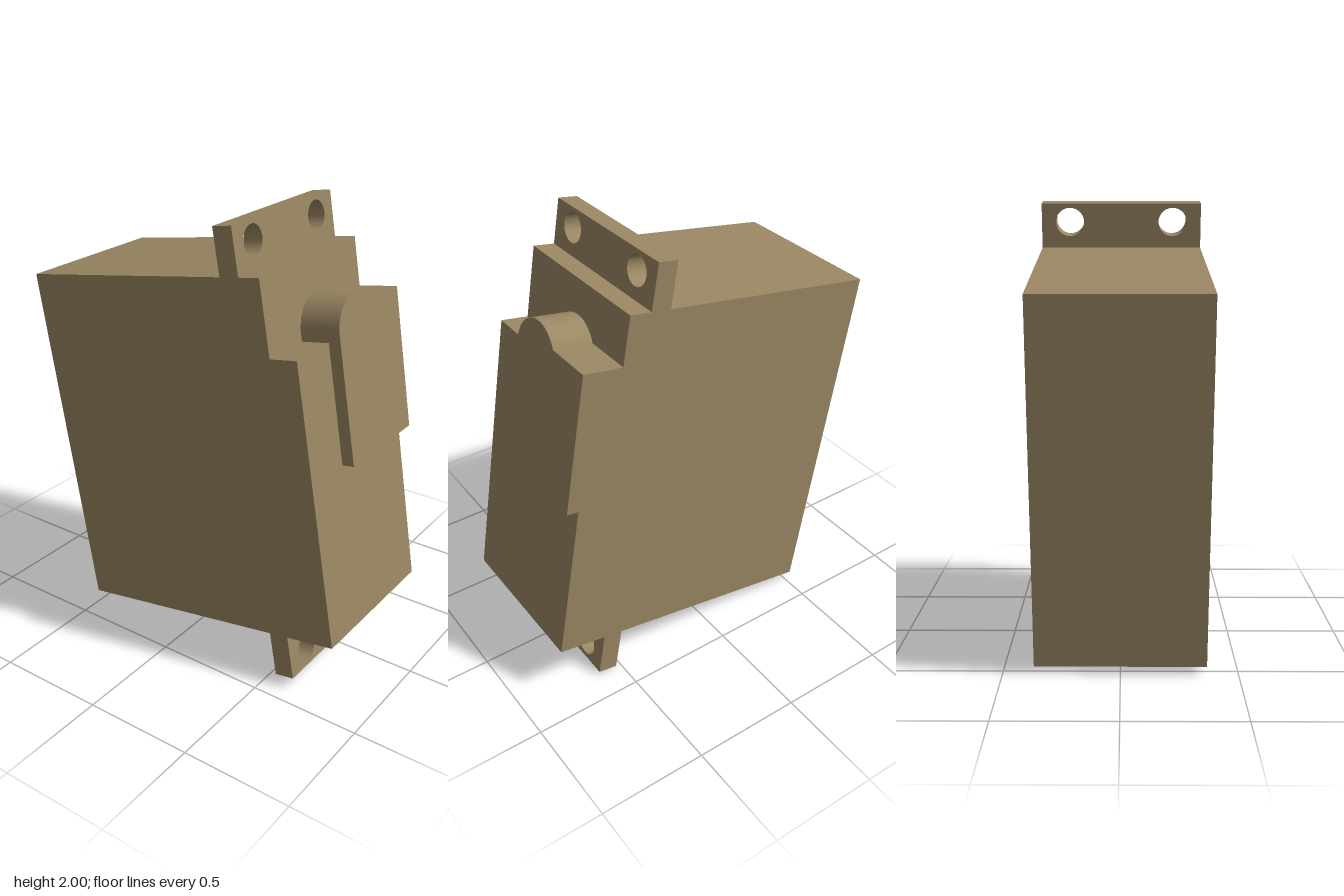
import * as THREE from 'three';

const HALF = 0.367; // half width of the casing

export function createModel() {
  const model = new THREE.Group();
  model.name = 'servoMotor';
  const tan = new THREE.MeshStandardMaterial({ color: 0x9a8763 });
  tan.name = 'tan plastic';

  // Upright servo, origin at the lower back edge, leaned back as a whole
  const servo = new THREE.Group();
  servo.name = 'tiltedServo';
  servo.position.set(0, 0.035, -0.53);
  servo.rotation.x = -THREE.MathUtils.degToRad(9.65);
  model.add(servo);

  const add = (name, geometry, z = 0) => {
    const mesh = new THREE.Mesh(geometry, tan);
    mesh.name = name;
    mesh.position.z = z;
    servo.add(mesh);
  };
  const extrude = (shape, depth) =>
    new THREE.ExtrudeGeometry(shape, { depth, bevelEnabled: false, curveSegments: 20 });

  // Casing: stepped side profile (forward, up) extruded across the width
  const profile = new THREE.Shape([
    [0, 0], [1.35, 0], [1.35, 1.277], [1.222, 1.277], [1.222, 1.603], [0, 1.603],
  ].map(([z, y]) => new THREE.Vector2(z, y)));
  const casing = extrude(profile, HALF * 2);
  casing.translate(0, 0, -HALF).rotateY(-Math.PI / 2);
  add('casing', casing);

  // Raised gear cover with a rounded shoulder
  const cx = 0.018, cy = 1.308, r = 0.147, shoulder = 1.384;
  const cover = new THREE.Shape();
  cover.moveTo(cx - r, 0.745);
  cover.lineTo(HALF, 0.745);
  cover.lineTo(HALF, shoulder);
  cover.absarc(cx, cy, r, Math.asin((shoulder - cy) / r), Math.PI, false);
  cover.closePath();
  add('gearCover', extrude(cover, 0.205), 1.2);

  // Mounting ears, each with two screw holes
  const ear = (name, bottom, top, holeY) => {
    const shape = new THREE.Shape([
      [-HALF, bottom], [HALF, bottom], [HALF, top], [-HALF, top],
    ].map(([x, y]) => new THREE.Vector2(x, y)));
    for (const x of [-0.237, 0.237]) {
      shape.holes.push(new THREE.Path().absarc(x, holeY, 0.065, 0, Math.PI * 2, true));
    }
    add(name, extrude(shape, 0.091), 1.032);
  };
  ear('upperMountingEar', 1.603, 1.806, 1.722);
  ear('lowerMountingEar', -0.208, 0, -0.123);

  return model;
}
